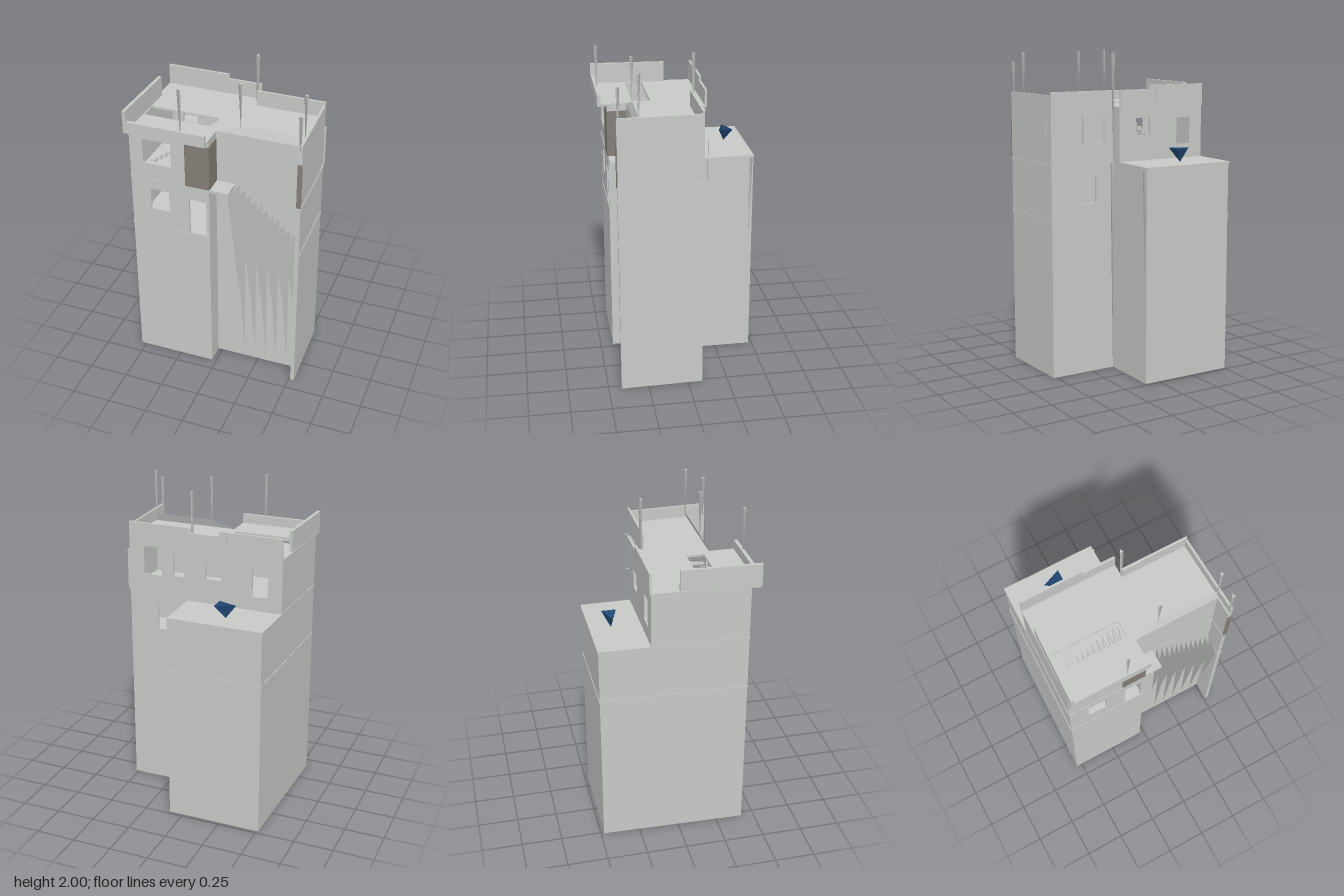
import * as THREE from 'three';

export function createModel() {
  const model = new THREE.Group();
  const plaster = new THREE.MeshStandardMaterial({ color: 0xc8cac8, side: THREE.DoubleSide });
  const shutter = new THREE.MeshStandardMaterial({ color: 0x857f77, side: THREE.DoubleSide });
  const blue = new THREE.MeshStandardMaterial({ color: 0x234a78, side: THREE.DoubleSide });
  plaster.name = 'plaster';
  shutter.name = 'taupe shutter';
  blue.name = 'blue';

  const add = (name, geometry, material = plaster) => {
    const mesh = new THREE.Mesh(geometry, material);
    mesh.name = name;
    model.add(mesh);
    return mesh;
  };
  const box = (name, x0, x1, y0, y1, z0, z1, material) =>
    add(name, new THREE.BoxGeometry(x1 - x0, y1 - y0, z1 - z0), material)
      .position.set((x0 + x1) / 2, (y0 + y1) / 2, (z0 + z1) / 2);

  // Horizontal slab or solid block from a floor plan of [x, z] corners
  const toPath = (plan, Type) => new Type(plan.map(([x, z]) => new THREE.Vector2(x, -z)));
  const prism = (name, plan, y0, y1, holes = []) => {
    const shape = toPath(plan, THREE.Shape);
    shape.holes = holes.map(h => toPath(h, THREE.Path));
    const geometry = new THREE.ExtrudeGeometry(shape, { depth: y1 - y0, bevelEnabled: false });
    add(name, geometry.rotateX(-Math.PI / 2).translate(0, y0, 0));
  };

  // Thin wall from a to b; openings are [distance0, distance1, y0, y1]
  const wall = (name, a, b, y0, y1, openings = [], thick = 0.014) => {
    const dx = b[0] - a[0], dz = b[1] - a[1], length = Math.hypot(dx, dz);
    const rect = (u0, u1, v0, v1) => [[u0, v0], [u1, v0], [u1, v1], [u0, v1]].map(p => new THREE.Vector2(...p));
    const shape = new THREE.Shape(rect(0, length, 0, y1 - y0));
    shape.holes = openings.map(([u0, u1, v0, v1]) => new THREE.Path(rect(u0, u1, v0 - y0, v1 - y0)));
    const mesh = add(name, new THREE.ExtrudeGeometry(shape, { depth: thick, bevelEnabled: false }));
    mesh.position.set(a[0], y0, a[1]);
    mesh.rotation.y = -Math.atan2(dz, dx);
  };
  const storey = (name, plan, y0, y1, openings) => plan.forEach((p, i) =>
    wall(name, p, plan[(i + 1) % plan.length], y0, y1, openings[i]));

  // Triangles from corner points
  const triangles = (name, points, material) => {
    const geometry = new THREE.BufferGeometry().setFromPoints(points.map(p => new THREE.Vector3(...p)));
    geometry.computeVertexNormals();
    add(name, geometry, material);
  };

  // Floor plans
  const front = [[0.09, -0.09], [0.52, -0.09], [0.535, 0.42], [0.51, 0.42], [0.51, 0.3],
    [-0.03, 0.3], [-0.03, 0.42], [-0.535, 0.42]];
  const lowerPlan = [[-0.51, -0.48], [0.09, -0.48], ...front];
  const upperPlan = [[-0.52, -0.17], [0.09, -0.17], ...front];
  const roofPlan = [...upperPlan.slice(0, 8), [-0.03, 0.48], [-0.54, 0.48]];
  const roofHole = [[-0.5, 0.15], [-0.065, 0.15], [-0.065, 0.26], [-0.5, 0.26]];
  const grow = plan => plan.map(([x, z]) => [x * 1.008, z * 1.008]);

  // Base, storeys and floor slabs
  prism('base', lowerPlan, 0, 0.988);
  prism('lowerFloor', grow(lowerPlan), 0.986, 0.996);
  storey('lowerWall', lowerPlan, 0.996, 1.322, {
    2: [[0.12, 0.24, 1.08, 1.25]],
    8: [[0.02, 0.13, 1.0, 1.24], [0.26, 0.38, 1.12, 1.26]],
  });
  prism('upperFloor', grow(lowerPlan), 1.322, 1.333);
  storey('upperWall', upperPlan, 1.333, 1.658, {
    0: [[0.09, 0.19, 1.42, 1.59], [0.39, 0.49, 1.49, 1.6]],
    2: [[0.06, 0.13, 1.45, 1.61], [0.21, 0.33, 1.44, 1.62]],
    5: [[0.44, 0.53, 1.34, 1.59]],
    8: [[0.24, 0.42, 1.44, 1.6]],
  });
  prism('roof', roofPlan, 1.658, 1.672, [roofHole]);
  box('stairLanding', -0.03, 0.09, 1.315, 1.333, 0.3, 0.42);

  // Parapets
  wall('backParapetTall', [-0.52, -0.18], [-0.12, -0.18], 1.66, 1.8);
  wall('backParapetLow', [-0.12, -0.18], [0.09, -0.18], 1.66, 1.77);
  wall('wingBackParapet', [0.09, -0.09], [0.52, -0.09], 1.66, 1.77);
  wall('wingSideParapet', [0.52, -0.09], [0.535, 0.42], 1.66, 1.75);
  wall('frontParapet', [-0.03, 0.48], [-0.54, 0.48], 1.655, 1.73, [], 0.022);
  wall('sideParapet', [-0.54, 0.48], [-0.52, 0], 1.655, 1.8, [], 0.02);
  triangles('wingFrontParapet', [
    [-0.03, 1.672, 0.3], [0.51, 1.672, 0.3], [0.13, 1.725, 0.28],
    [0.13, 1.725, 0.28], [0.51, 1.672, 0.3], [0.51, 1.725, 0.28]]);

  // Taupe shutters beside the recess and on the end wall
  box('frontShutter', -0.18, -0.03, 1.335, 1.625, 0.419, 0.425, shutter);
  box('recessShutter', -0.031, -0.026, 1.335, 1.625, 0.3, 0.425, shutter);
  box('endShutter', 0.51, 0.538, 1.335, 1.625, 0.419, 0.425, shutter);

  // Outer stair: slanted fins tapering to the ground
  for (let i = 0; i < 12; i++) {
    const x = 0.09 + i * 0.036, top = 1.33 - i * 0.027, foot = i % 2 ? 0.04 : 0.5;
    triangles('stairFin', [[x, top, 0.42], [x + 0.03, foot, 0.302], [x + 0.03, top, 0.302],
      [x, top, 0.42], [x, top - 0.05, 0.42], [x + 0.03, foot, 0.302]]);
  }

  // Inner stair rising to the roof opening
  for (let i = 0; i < 12; i++) {
    const x = -0.48 + i * 0.034, top = 1.37 + i * 0.025;
    triangles('innerStairRiser', [[x + 0.03, top, 0.155], [x, top, 0.26], [x + 0.03, top - 0.03, 0.26],
      [x + 0.03, top, 0.155], [x + 0.03, top - 0.03, 0.26], [x + 0.03, top - 0.03, 0.155]]);
    box('innerStairTread', x, x + 0.034, top - 0.025, top - 0.01, 0.155, 0.255);
  }

  // Spikes, narrow end down: [x, z, low, high]
  [[-0.18, 0.47, 1.67, 2], [0.09, -0.095, 1.35, 2], [0.12, 0.285, 1.7, 2], [0.51, 0.29, 1.67, 2],
    [0.52, 0.41, 1.6, 1.93], [0.09, -0.46, 0.7, 1.32], [0.095, -0.095, 0.05, 1.32],
    [-0.17, -0.175, 1.67, 1.775]].forEach(([x, z, low, high]) => {
    const spike = add('spike', new THREE.ConeGeometry(0.014, high - low, 3).rotateX(Math.PI));
    spike.position.set(x, (low + high) / 2, z);
  });

  // Hollow blue pyramid standing on its tip on the lower roof
  const rim = [[-0.3, 1.42, -0.35], [-0.18, 1.42, -0.4], [-0.18, 1.42, -0.31]];
  const tip = [-0.235, 1.334, -0.352];
  triangles('bluePyramid', rim.flatMap((p, i) => [p, rim[(i + 1) % 3], tip]), blue);

  return model;
}
